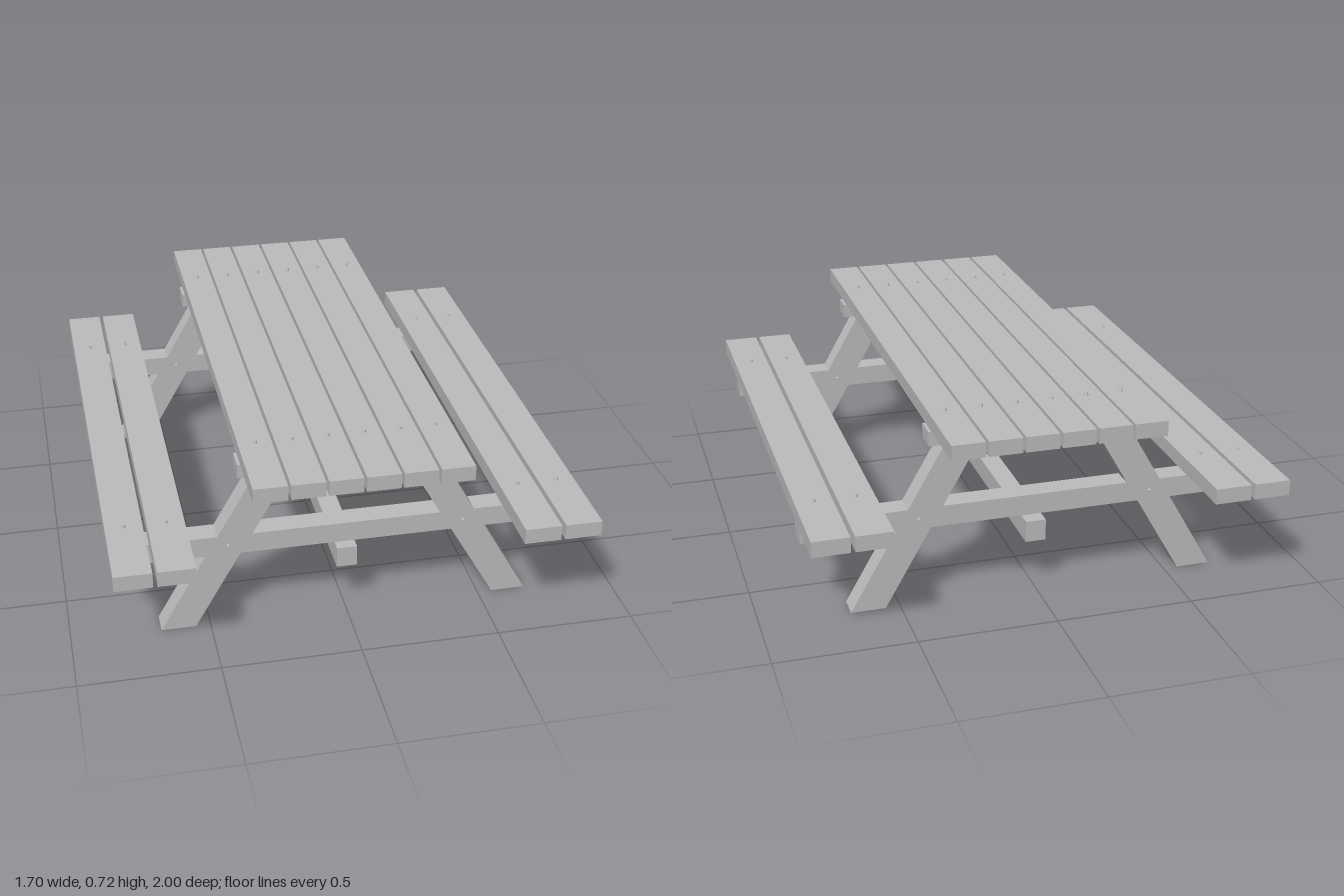
import * as THREE from 'three';

const wood = new THREE.MeshStandardMaterial({ color: 0xbcbcbc });
wood.name = 'grey timber';

export function createModel() {
  const model = new THREE.Group();
  model.name = 'picnicTable';

  const add = (name, geometry) => {
    const mesh = new THREE.Mesh(geometry, wood);
    mesh.name = name;
    model.add(mesh);
    return mesh;
  };

  // Box given by its extents along each axis
  const beam = (name, x0, x1, y0, y1, z0, z1) =>
    add(name, new THREE.BoxGeometry(x1 - x0, y1 - y0, z1 - z0))
      .position.set((x0 + x1) / 2, (y0 + y1) / 2, (z0 + z1) / 2);

  // Flat-sided prism, centred on its thickness
  const prism = (points, depth) => {
    const shape = new THREE.Shape(points.map(([x, y]) => new THREE.Vector2(x, y)));
    return new THREE.ExtrudeGeometry(shape, { depth, bevelEnabled: false }).translate(0, 0, -depth / 2);
  };

  // Bolt head, a small low dome pointing along the given direction
  const boltShape = new THREE.CylinderGeometry(0.005, 0.008, 0.01, 8).translate(0, 0.005, 0);
  const up = new THREE.Vector3(0, 1, 0);
  const bolt = (name, x, y, z, dx, dy, dz) => {
    const mesh = add(name, boltShape);
    mesh.position.set(x, y, z);
    mesh.quaternion.setFromUnitVectors(up, new THREE.Vector3(dx, dy, dz));
  };

  const inner = 0.66, outer = 0.745, frameZ = (inner + outer) / 2;

  // Table top planks
  for (let i = 0; i < 6; i++) {
    const x = (i - 2.5) * 0.128;
    beam('tablePlank', x - 0.059, x + 0.059, 0.655, 0.71, -1, 1);
    for (const s of [-1, 1]) bolt('tableBolt', x, 0.71, s * frameZ, 0, 1, 0);
  }

  // Bench planks on both sides
  for (const side of [-1, 1]) {
    for (const c of [0.639, 0.786]) {
      const x = side * c;
      beam('benchPlank', x - 0.066, x + 0.066, 0.371, 0.428, -1, 1);
      for (const s of [-1, 1]) bolt('benchBolt', x, 0.428, s * frameZ, 0, 1, 0);
    }
  }

  // Lower stretcher along the middle
  beam('stretcher', -0.037, 0.037, 0.187, 0.266, -outer, outer);

  for (const s of [-1, 1]) {
    const z0 = Math.min(s * inner, s * outer), z1 = Math.max(s * inner, s * outer);

    // End frame: cross bars with half-lapped slanted legs
    beam('topBar', -0.39, 0.39, 0.602, 0.655, z0, z1);
    beam('seatBar', -0.846, 0.846, 0.295, 0.371, z0, z1);
    for (const side of [-1, 1]) {
      const points = [[0.553, 0], [0.678, 0], [0.305, 0.653], [0.18, 0.653]].map(([x, y]) => [side * x, y]);
      add('leg', prism(points, outer - inner)).position.z = s * frameZ;
      for (const [x, y] of [[0.305, 0.627], [0.428, 0.33]]) {
        bolt('legBolt', side * x, y, s * outer, 0, 0, s);
        bolt('legBolt', side * x, y, s * inner, 0, 0, -s);
      }
    }

    // Diagonal brace from the top bar down to the stretcher
    const bracePoints = [[0.66, 0.624], [0.088, 0.29], [0.112, 0.252], [0.66, 0.574]].map(([z, y]) => [s * z, y]);
    add('brace', prism(bracePoints, 0.056).rotateY(-Math.PI / 2));
    for (const side of [-1, 1]) {
      bolt('braceBolt', side * 0.028, 0.585, s * 0.645, side, 0, 0);
      bolt('braceBolt', side * 0.028, 0.285, s * 0.115, side, 0, 0);
    }
  }

  return model;
}
